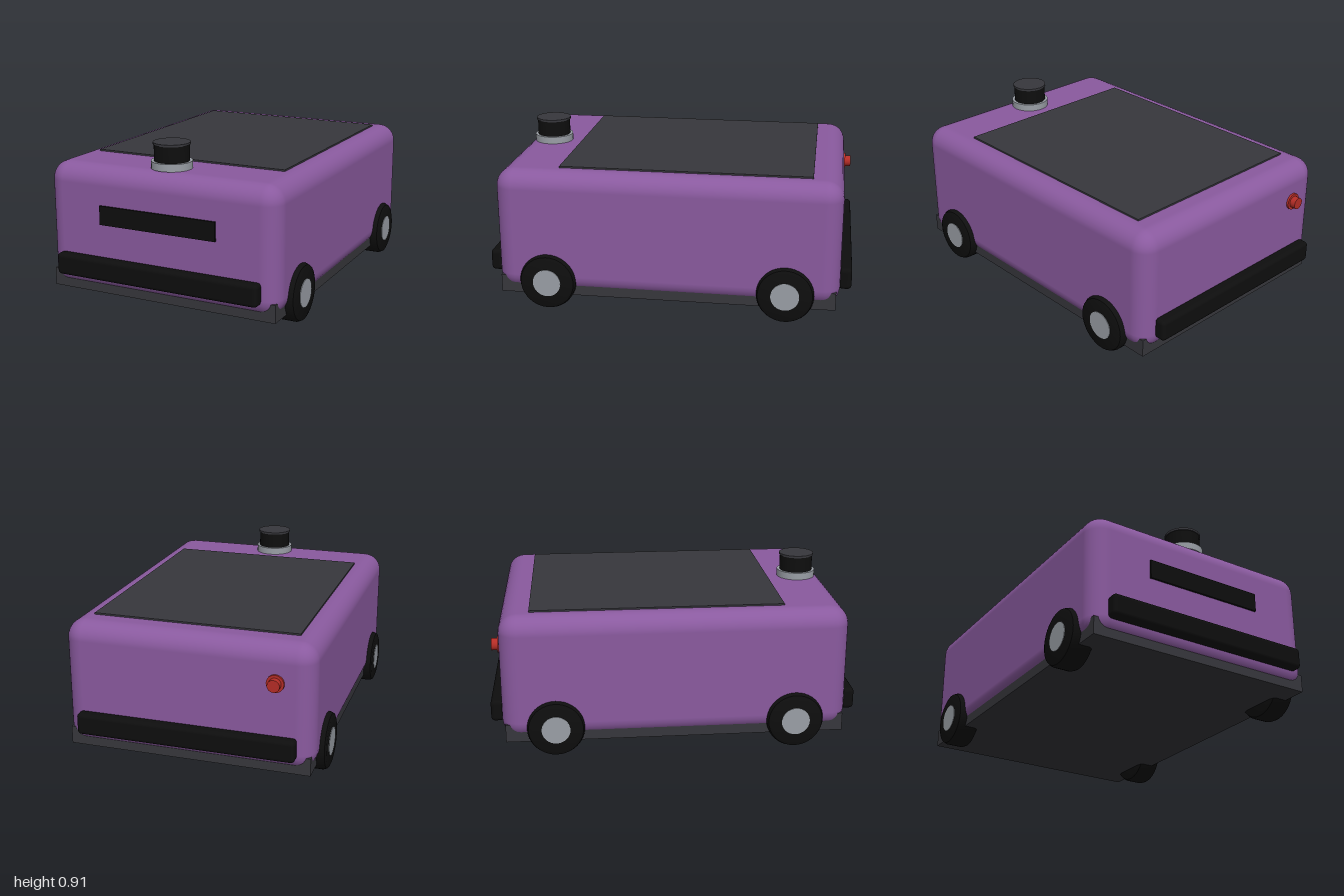
import * as THREE from 'three';
import { RoundedBoxGeometry } from 'three/addons/geometries/RoundedBoxGeometry.js';
import { toCreasedNormals } from 'three/addons/utils/BufferGeometryUtils.js';

function material(name, color) {
  const m = new THREE.MeshStandardMaterial({ color });
  m.name = name;
  return m;
}

export function createModel() {
  const purple = material('purple paint', 0x8a5a9f);
  const charcoal = material('charcoal', 0x37373c);
  const black = material('black rubber', 0x0e0e0e);
  const grey = material('light grey', 0x9a9fa6);
  const red = material('red', 0xb52d26);

  const model = new THREE.Group();
  model.name = 'deliveryRobot';

  function add(name, geometry, mat, x, y, z, parent = model) {
    const mesh = new THREE.Mesh(geometry, mat);
    mesh.name = name;
    mesh.position.set(x, y, z);
    parent.add(mesh);
    return mesh;
  }
  const disc = (r, h, sides = 32) => new THREE.CylinderGeometry(r, r, h, sides);

  // Shell and floor pan
  add('body', new RoundedBoxGeometry(1.364, 0.69, 1.88, 4, 0.1), purple, 0, 0.428, 0);
  add('chassis', new THREE.BoxGeometry(1.33, 0.098, 1.84), charcoal, 0, 0.121, 0);

  // Lid panel and front window
  add('lidPanel', new THREE.BoxGeometry(1.13, 0.014, 1.37), charcoal, 0, 0.775, -0.09);
  add('frontWindow', new THREE.BoxGeometry(0.686, 0.104, 0.02), black, 0, 0.515, 0.941);

  // Front and rear bumpers
  for (const s of [1, -1]) {
    add(s > 0 ? 'frontBumper' : 'rearBumper',
      new RoundedBoxGeometry(1.194, 0.12, 0.07, 3, 0.022), black, 0, 0.225, s * 0.965);
  }

  // Sensor turret
  const sensor = new THREE.Group();
  sensor.name = 'sensorTurret';
  sensor.position.set(0, 0, 0.77);
  model.add(sensor);
  add('sensorBase', disc(0.11, 0.04), grey, 0, 0.793, 0, sensor);
  add('sensorDrum', disc(0.094, 0.09), black, 0, 0.857, 0, sensor);
  add('sensorCap', disc(0.099, 0.012), charcoal, 0, 0.906, 0, sensor);

  // Rear emergency button
  const button = new THREE.Group();
  button.name = 'rearButton';
  button.position.set(-0.48, 0.57, -0.94);
  button.rotation.x = -Math.PI / 2;
  model.add(button);
  add('buttonCollar', disc(0.047, 0.024, 24), red, 0, 0, 0, button);
  add('buttonKnob', disc(0.033, 0.04, 24), red, 0, 0.025, 0, button);

  // Wheels: a lathed tyre with rounded shoulders, and a flush hub
  const tyreProfile = [
    [0, -0.068], [0.13, -0.068], [0.147, -0.061], [0.155, -0.043],
    [0.155, 0.043], [0.147, 0.061], [0.13, 0.068], [0, 0.068],
  ].map(([r, y]) => new THREE.Vector2(r, y));
  const tyre = toCreasedNormals(new THREE.LatheGeometry(tyreProfile, 40), 0.6);
  for (const side of [1, -1]) {
    for (const end of [1, -1]) {
      const wheel = new THREE.Group();
      wheel.name = (end > 0 ? 'front' : 'rear') + (side > 0 ? 'Left' : 'Right') + 'Wheel';
      wheel.position.set(side * 0.646, 0.155, end * 0.65);
      wheel.rotation.z = -side * Math.PI / 2;
      model.add(wheel);
      add('tyre', tyre, black, 0, 0, 0, wheel);
      add('hub', disc(0.077, 0.02), grey, 0, 0.061, 0, wheel);
    }
  }

  return model;
}
